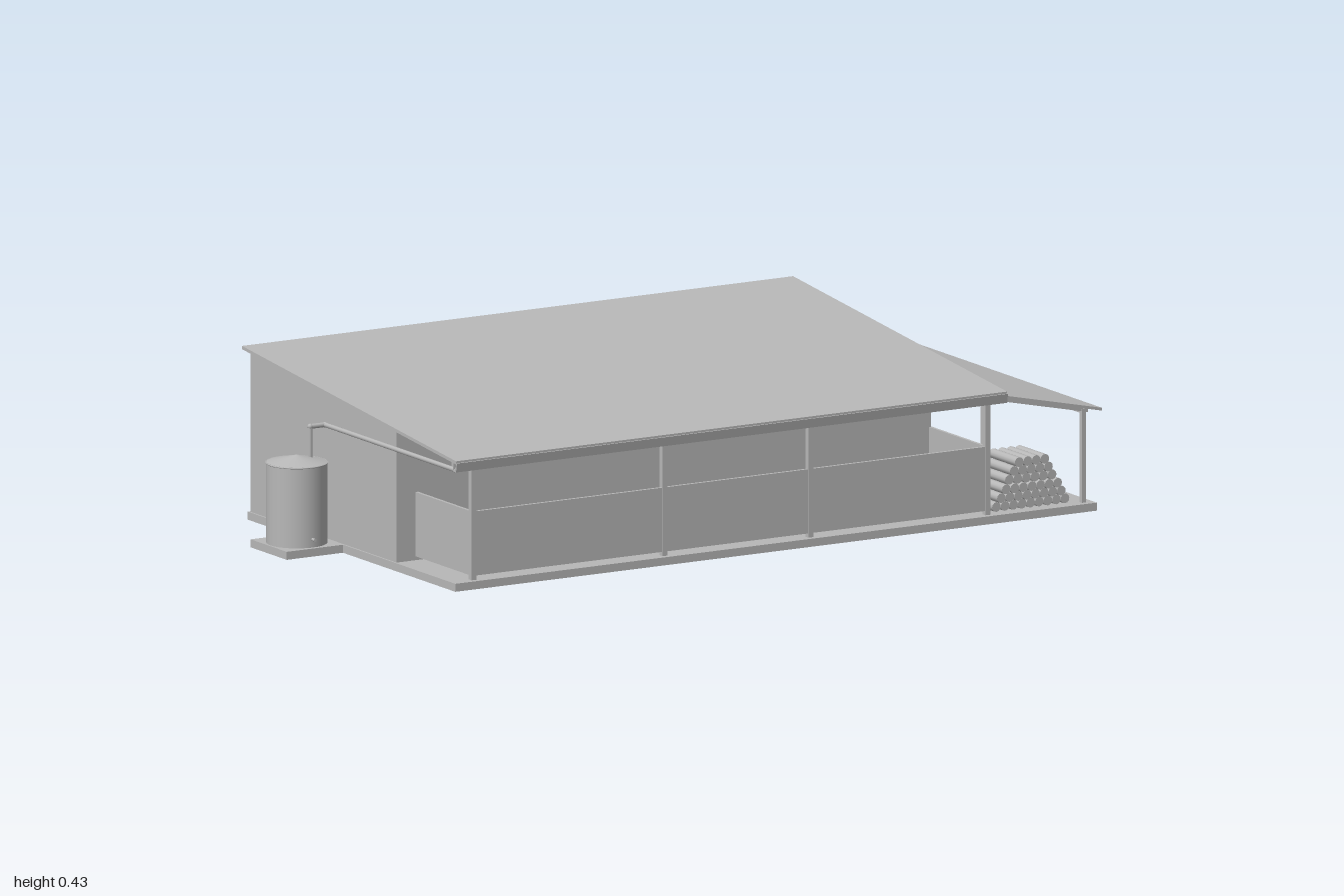
import * as THREE from 'three';

export function createModel() {
  const model = new THREE.Group();
  const grey = new THREE.MeshStandardMaterial({ color: 0xb8b8b8 });
  grey.name = 'plain grey';

  const add = (name, geometry, parent = model) => {
    const mesh = new THREE.Mesh(geometry, grey);
    mesh.name = name;
    parent.add(mesh);
    return mesh;
  };
  const group = (name) => {
    const g = new THREE.Group();
    g.name = name;
    model.add(g);
    return g;
  };
  // Box given by its limits on each axis
  const box = (name, x0, x1, y0, y1, z0, z1, parent) =>
    add(name, new THREE.BoxGeometry(x1 - x0, y1 - y0, z1 - z0)
      .translate((x0 + x1) / 2, (y0 + y1) / 2, (z0 + z1) / 2), parent);
  const shapeOf = (pts) => new THREE.Shape(pts.map(([a, b]) => new THREE.Vector2(a, b)));
  // Outline in (z, y) pushed along x
  const prismX = (name, pts, x0, x1, parent) =>
    add(name, new THREE.ExtrudeGeometry(shapeOf(pts), { depth: x1 - x0, bevelEnabled: false })
      .rotateY(-Math.PI / 2).translate(x1, 0, 0), parent);
  // Outline in (x, y) pushed along z, with optional holes
  const prismZ = (name, pts, z0, z1, parent, holes = []) => {
    const shape = shapeOf(pts);
    holes.forEach((h) => shape.holes.push(shapeOf(h)));
    return add(name, new THREE.ExtrudeGeometry(shape, { depth: z1 - z0, bevelEnabled: false })
      .translate(0, 0, z0), parent);
  };
  const rect = (a0, a1, b0, b1) => [[a0, b0], [a1, b0], [a1, b1], [a0, b1]];
  // Sloping strip between two outline points, hanging t below them
  const strip = ([a, b], [c, d], t) => [[a, b - t], [c, d - t], [c, d], [a, b]];

  const roofY = (z) => 0.33 + (0.51 - z) * 0.101;
  const leanY = (x) => 0.325 - (x - 0.68) * 0.22;

  // Ground slab, tank pad and back step
  box('slab', -0.84, 0.985, 0, 0.02, -0.49, 0.49);
  box('tankPad', -1, -0.84, 0, 0.02, -0.21, -0.04);
  box('backStep', 0.28, 0.4, 0, 0.035, -0.515, -0.49);

  // Enclosed house body
  prismX('houseBody', [
    [-0.485, 0.02], [0.205, 0.02], [0.205, roofY(0.205) - 0.008], [-0.485, roofY(-0.485) - 0.008],
  ], -0.835, 0.685);

  // Main roof, gutter and veranda rafters
  prismX('mainRoof', strip([-0.5, roofY(-0.5)], [0.51, roofY(0.51)], 0.008), -0.85, 0.718);
  const gutter = group('gutter');
  prismX('gutterTrough', [
    [0.496, 0.302], [0.51, 0.302], [0.514, 0.325], [0.51, 0.325], [0.507, 0.306], [0.499, 0.306], [0.499, 0.325], [0.496, 0.325],
  ], -0.85, 0.718, gutter);

  // Veranda posts, beam, rafters and half-height walls
  const veranda = group('veranda');
  const posts = [-0.778, -0.235, 0.18, 0.684];
  for (const x of posts) {
    box('verandaPost', x - 0.007, x + 0.007, 0.02, 0.318, 0.462, 0.476, veranda);
    prismX('rafter', strip([0.205, roofY(0.205) - 0.008], [0.495, roofY(0.495) - 0.008], 0.012), x - 0.006, x + 0.006, veranda);
  }
  box('verandaBeam', -0.835, 0.69, 0.304, 0.32, 0.463, 0.475, veranda);
  for (let i = 0; i < 3; i++) {
    box('frontHalfWall', posts[i] + 0.007, posts[i + 1] - 0.007, 0.03, 0.19, 0.465, 0.473, veranda);
  }
  for (const x of [posts[0], posts[3]]) {
    box('endHalfWall', x - 0.004, x + 0.004, 0.03, 0.19, 0.205, 0.462, veranda);
  }
  box('gateLatch', 0.688, 0.694, 0.17, 0.18, 0.207, 0.217, veranda);

  // Side lean-to: roof, posts, beam, rafters
  const leanTo = group('leanTo');
  prismZ('leanToRoof', strip([0.685, leanY(0.685)], [1, leanY(1)], 0.007), -0.495, 0.49, leanTo);
  for (const z of [0.468, 0.002, -0.472]) {
    box('leanToPost', 0.952, 0.964, 0.02, 0.25, z - 0.006, z + 0.006, leanTo);
    prismZ('leanToRafter', strip([0.685, leanY(0.685) - 0.007], [0.97, leanY(0.97) - 0.007], 0.01), z - 0.005, z + 0.005, leanTo);
  }
  box('leanToBeam', 0.952, 0.964, 0.243, 0.254, -0.48, 0.475, leanTo);
  box('wallPost', 0.685, 0.693, 0.02, 0.31, -0.004, 0.008, leanTo);

  // Lean-to back wall with an open three-part window
  prismZ('leanToBackWall', [
    [0.685, 0.02], [0.965, 0.02], [0.965, leanY(0.965) - 0.007], [0.685, leanY(0.685) - 0.007],
  ], -0.485, -0.477, leanTo, [rect(0.705, 0.938, 0.165, 0.235)]);
  for (const x of [0.783, 0.86]) box('mullion', x - 0.002, x + 0.002, 0.165, 0.235, -0.484, -0.478, leanTo);

  // Flat two-pane window facing +z, with frame and sill
  const makeWindow = (name, w, h) => {
    const g = group(name);
    const f = 0.005, a = w / 2;
    const frame = shapeOf(rect(-a, a, 0, h));
    frame.holes.push(shapeOf(rect(-a + f, -f / 2, f, h - f)), shapeOf(rect(f / 2, a - f, f, h - f)));
    add('windowFrame', new THREE.ExtrudeGeometry(frame, { depth: 0.006, bevelEnabled: false }), g);
    box('windowPanes', -a + f, a - f, f, h - f, 0, 0.002, g);
    box('windowSill', -a - 0.01, a + 0.01, -0.008, -0.002, 0, 0.012, g);
    return g;
  };
  const sideWindow = makeWindow('sideWindow', 0.235, 0.12);
  sideWindow.position.set(0.685, 0.18, -0.168);
  sideWindow.rotation.y = Math.PI / 2;
  const backWindow = makeWindow('backWindow', 0.255, 0.13);
  backWindow.position.set(-0.417, 0.17, -0.485);
  backWindow.rotation.y = Math.PI;

  // Back door
  const door = group('backDoor');
  prismZ('doorFrame', rect(0.285, 0.397, 0.035, 0.302), -0.491, -0.485, door, [rect(0.292, 0.39, 0.036, 0.295)]);
  box('doorLeaf', 0.294, 0.388, 0.037, 0.293, -0.488, -0.485, door);
  add('doorKnob', new THREE.SphereGeometry(0.005, 10, 8).translate(0.303, 0.17, -0.492), door);

  // Water tank with conical lid, rims and tap
  const tank = group('waterTank');
  tank.position.set(-0.92, 0, -0.125);
  add('tankBody', new THREE.CylinderGeometry(0.075, 0.075, 0.2, 32).translate(0, 0.12, 0), tank);
  add('tankLid', new THREE.ConeGeometry(0.077, 0.018, 32).translate(0, 0.229, 0), tank);
  add('tankRim', new THREE.TorusGeometry(0.075, 0.002, 6, 32).rotateX(Math.PI / 2).translate(0, 0.219, 0), tank);
  add('tankTap', new THREE.CylinderGeometry(0.004, 0.004, 0.014, 8).rotateX(Math.PI / 2).translate(0, 0.04, 0.08), tank);

  // Pipe from the gutter back to the tank
  const path = new THREE.CurvePath();
  const corners = [
    [-0.843, 0.305, 0.503], [-0.843, 0.305, -0.12], [-0.885, 0.305, -0.12], [-0.885, 0.222, -0.12],
  ].map((p) => new THREE.Vector3(...p));
  for (let i = 0; i < 3; i++) {
    path.add(new THREE.LineCurve3(corners[i], corners[i + 1]));
    const length = corners[i].distanceTo(corners[i + 1]);
    const pipe = add('downpipe', new THREE.CylinderGeometry(0.006, 0.006, length, 10));
    pipe.position.copy(corners[i]).lerp(corners[i + 1], 0.5);
    pipe.quaternion.setFromUnitVectors(new THREE.Vector3(0, 1, 0),
      corners[i + 1].clone().sub(corners[i]).normalize());
    if (i) add('pipeElbow', new THREE.SphereGeometry(0.007, 10, 8)).position.copy(corners[i]);
  }

  // Stacked firewood
  const firewood = group('firewood');
  const r = 0.0122;
  for (let row = 0; row < 6; row++) {
    for (let i = 0; i < 9 - row; i++) {
      add('log', new THREE.CylinderGeometry(r, r, 0.122, 12).rotateX(Math.PI / 2)
        .translate(0.72 + (i + row / 2) * r * 2, 0.02 + r + row * r * 1.74, 0.398 + ((i * 3 + row) % 3 - 1) * 0.003), firewood);
    }
  }

  return model;
}
